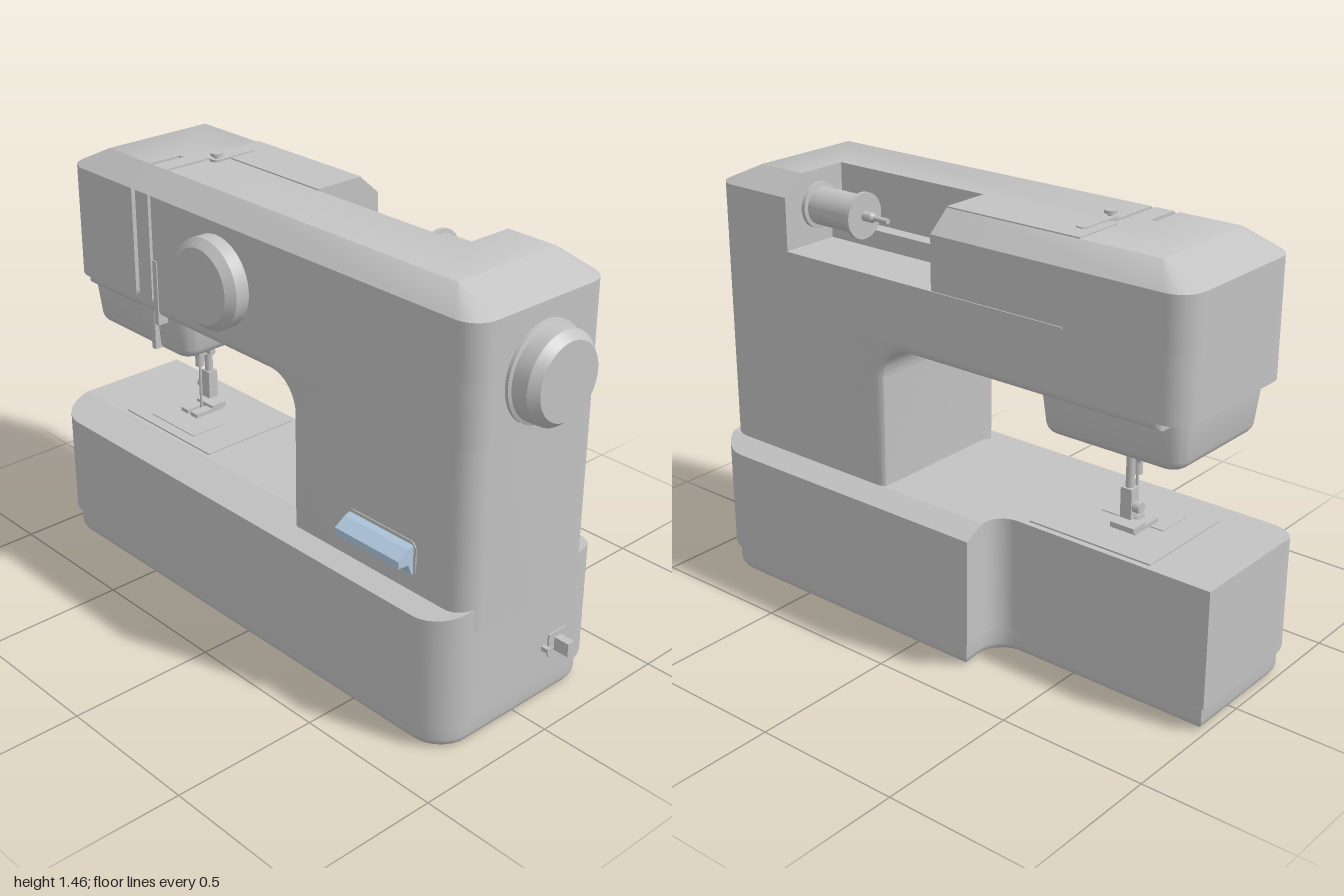
import * as THREE from 'three';
import { toCreasedNormals } from 'three/addons/utils/BufferGeometryUtils.js';

const grey = new THREE.MeshStandardMaterial({ color: 0xc2c2c2 });
grey.name = 'grey shell';
const blue = new THREE.MeshStandardMaterial({ color: 0xb0c8de });
blue.name = 'pale blue';

// Outline in plan from corners [x, z, radius]
function outline(corners) {
  const pts = [], n = corners.length;
  corners.forEach(([x, z, r = 0], i) => {
    const p = new THREE.Vector2(x, z);
    if (!r) return pts.push(p);
    const toward = (c, d) => new THREE.Vector2(c[0], c[1]).sub(p).normalize().multiplyScalar(d).add(p);
    const a = corners[(i + n - 1) % n], b = corners[(i + 1) % n];
    pts.push(...new THREE.CubicBezierCurve(toward(a, r), toward(a, r * 0.45), toward(b, r * 0.45), toward(b, r)).getPoints(8));
  });
  return pts;
}

// Keep the part of an outline where side * z <= side * limit
function clip(pts, side, limit) {
  const out = [], inside = (p) => side * p.y <= side * limit + 1e-6;
  pts.forEach((p, i) => {
    const q = pts[(i + 1) % pts.length];
    if (inside(p)) out.push(p);
    if (inside(p) !== inside(q)) out.push(p.clone().lerp(q, (limit - p.y) / (q.y - p.y)));
  });
  return out.filter((p, i) => p.distanceTo(out[(i + 1) % out.length]) > 1e-4);
}

// Move every vertex by a rule, then smooth the gentle edges
function reshape(geo, rule) {
  const pos = geo.attributes.position, v = new THREE.Vector3();
  for (let i = 0; rule && i < pos.count; i++) {
    rule(v.fromBufferAttribute(pos, i));
    pos.setXYZ(i, v.x, v.y, v.z);
  }
  return toCreasedNormals(geo, 0.55);
}

// Raise a plan outline from y0 to y1, with an optional rounded rim
function raise(pts, y0, y1, rule, bevel = 0, inset = 0) {
  const shape = new THREE.Shape(pts.map((p) => new THREE.Vector2(p.x, -p.y)));
  const geo = new THREE.ExtrudeGeometry(shape, {
    depth: y1 - y0 - 2 * bevel, bevelEnabled: bevel > 0, bevelSize: bevel,
    bevelThickness: bevel, bevelOffset: -bevel - inset, bevelSegments: 4,
  });
  geo.rotateX(-Math.PI / 2).translate(0, y0 + bevel, 0);
  return reshape(geo, rule);
}

export function createModel() {
  const model = new THREE.Group();
  const add = (name, geo, mat = grey) => {
    const mesh = new THREE.Mesh(geo, mat);
    mesh.name = name;
    model.add(mesh);
    return mesh;
  };
  // Box from its limits
  const box = (name, x0, x1, y0, y1, z0, z1, mat) =>
    add(name, new THREE.BoxGeometry(x1 - x0, y1 - y0, z1 - z0).translate((x0 + x1) / 2, (y0 + y1) / 2, (z0 + z1) / 2), mat);
  const post = (name, x, z, y0, y1, r) =>
    add(name, new THREE.CylinderGeometry(r, r, y1 - y0, 16).translate(x, (y0 + y1) / 2, z));
  const turned = (name, profile) =>
    add(name, toCreasedNormals(new THREE.LatheGeometry(profile.map(([r, y]) => new THREE.Vector2(r, y)), 48).toNonIndexed(), 0.3));

  // Base: inset plinth, then a bed that slopes down to the front and back
  const bed = outline([[-1, -0.19], [-1, 0.35, 0.13], [0.9, 0.35, 0.13], [0.9, -0.355, 0.13],
    [-0.235, -0.355], [-0.22, -0.19, 0.08]]);
  add('plinth', raise(bed, 0, 0.15, null, 0.03, 0.015));
  const zFront = 0.215, zBack = -0.273;
  const slope = (v) => {
    if (v.y < 0.4) return;
    if (v.z > zFront) v.y -= 0.03 * (v.z - zFront) / 0.135;
    if (v.z < zBack) v.y -= 0.03 * (zBack - v.z) / 0.082;
  };
  add('bedMiddle', raise(clip(clip(bed, 1, zFront), -1, zBack), 0.09, 0.48));
  add('bedFront', raise(clip(bed, -1, zFront), 0.09, 0.48, slope));
  add('bedBack', raise(clip(bed, 1, zBack), 0.09, 0.48, slope));

  // Column and the bevelled arch under the arm
  add('column', raise(outline([[0.3, -0.275], [0.3, 0.277], [0.905, 0.277, 0.08], [0.905, -0.275, 0.08]]), 0.4, 0.99));
  const arch = new THREE.Shape();
  arch.moveTo(-0.86, 0.96);
  arch.lineTo(0.07, 0.96);
  arch.absarc(0.07, 0.85, 0.11, Math.PI / 2, 0, true);
  [[0.18, 0.4], [0.5, 0.4], [0.5, 1.02], [-0.86, 1.02]].forEach(([x, y]) => arch.lineTo(x, y));
  add('archFrame', toCreasedNormals(new THREE.ExtrudeGeometry(arch, {
    depth: 0.512, bevelSize: 0.025, bevelThickness: 0.02, bevelOffset: -0.025, bevelSegments: 3, curveSegments: 14,
  }).translate(0, 0, -0.255), 0.55));

  // Arm: plan with two thread grooves at the front and a spool recess at the back
  const armPlan = (grooveEnds, recess) => {
    const slots = [[-0.585, -0.565], [-0.5, -0.485]].flatMap(([a, b], i) =>
      [[a, 0.277], [a, grooveEnds[i]], [b, grooveEnds[i]], [b, 0.277]]);
    const well = recess ? [[0.58, -0.275], [0.58, -0.02], [-0.03, -0.02], [-0.03, -0.275]] : [];
    return outline([[-0.935, -0.275, 0.08], [-0.935, 0.277, 0.08], ...slots,
      [0.905, 0.277, 0.08], [0.905, -0.275, 0.08], ...well]);
  };
  add('armLower', raise(armPlan([0.25, 0.25], false), 0.985, 1.19));
  add('armUpper', raise(armPlan([0.25, 0.25], true), 1.19, 1.365));
  add('armTop', raise(armPlan([0.08, 0], true), 1.365, 1.43, (v) => {
    if (v.y < 1.4) return;
    v.x = THREE.MathUtils.clamp(v.x, -0.8, 0.76);
    v.z = THREE.MathUtils.clamp(v.z, -0.2, 0.2);
  }));
  box('recessStep', -0.03, 0.58, 1.19, 1.25, -0.07, -0.02);
  box('lidPanel', -0.52, -0.03, 1.425, 1.434, -0.2, -0.02);
  box('lidSeam', -0.52, 0.58, 1.183, 1.19, -0.279, -0.27);

  // Needle housing under the head, tapering downward
  add('needleHousing', raise(outline([[-0.9, -0.22, 0.06], [-0.9, 0.25, 0.06], [-0.37, 0.25, 0.06], [-0.37, -0.22, 0.06]]),
    0.81, 1.04, (v) => {
      const k = 1 - 0.08 * THREE.MathUtils.clamp((0.985 - v.y) / 0.175, 0, 1);
      v.x = -0.635 + (v.x + 0.635) * k;
      v.z = 0.015 + (v.z - 0.015) * k;
    }, 0.03));
  box('threadGuide', -0.565, -0.5, 0.92, 1.0, 0.23, 0.272);
  box('threadGuideTip', -0.54, -0.52, 0.82, 0.93, 0.22, 0.256);
  box('takeUpSlot', -0.485, -0.465, 0.93, 1.15, 0.24, 0.281);

  // Front dial and hand wheel
  turned('frontDial', [[0.148, 0], [0.148, 0.05], [0.122, 0.075], [0, 0.075]])
    .rotateX(Math.PI / 2).position.set(-0.16, 1.178, 0.275);
  turned('handWheel', [[0.155, 0], [0.155, 0.012], [0.145, 0.016], [0.143, 0.068], [0.12, 0.096], [0, 0.096]])
    .rotateZ(-Math.PI / 2).position.set(0.904, 1.156, 0);

  // Reverse lever in a rounded frame
  const frame = new THREE.Shape(outline([[0.427, 0.518, 0.025], [0.713, 0.518, 0.025], [0.713, 0.635, 0.025], [0.427, 0.635, 0.025]]));
  add('leverFrame', new THREE.ExtrudeGeometry(frame, { depth: 0.008, bevelEnabled: false }).translate(0, 0, 0.272));
  const lever = new THREE.Shape([[0.27, 0.627], [0.3, 0.617], [0.34, 0.592], [0.34, 0.568], [0.3, 0.565], [0.285, 0.528], [0.27, 0.526]]
    .map(([z, y]) => new THREE.Vector2(-z, y)));
  add('reverseLever', new THREE.ExtrudeGeometry(lever, { depth: 0.266, bevelEnabled: false })
    .rotateY(Math.PI / 2).translate(0.437, 0, 0), blue);

  // Spool lying in the recess
  const spool = turned('spool', [[0, -0.03], [0.075, -0.03], [0.075, -0.016], [0.062, -0.014], [0.062, 0.16],
    [0.075, 0.162], [0.075, 0.176], [0.016, 0.176], [0.016, 0.21], [0.009, 0.22], [0.009, 0.275], [0, 0.275]]);
  spool.rotateZ(Math.PI / 2).position.set(0.545, 1.315, -0.135);

  // Bobbin winder on the top
  add('winderPlate', raise(outline([[-0.485, -0.13, 0.019], [-0.485, 0.045, 0.019], [-0.445, 0.045, 0.019], [-0.445, -0.13, 0.019]]), 1.425, 1.438));
  post('winderPin', -0.465, 0.022, 1.43, 1.447, 0.01);
  post('winderCap', -0.465, 0.022, 1.446, 1.456, 0.02);

  // Needle plate and bobbin cover
  box('needlePlate', -0.78, -0.33, 0.475, 0.485, -0.17, 0.2);
  box('bobbinCover', -0.69, -0.46, 0.48, 0.488, 0.03, 0.16);

  // Presser bar, foot, needle and clamps
  post('presserBar', -0.6, -0.025, 0.54, 0.83, 0.014);
  post('needleBar', -0.598, 0.015, 0.66, 0.83, 0.016);
  post('needle', -0.598, 0.015, 0.49, 0.68, 0.005);
  box('needleClamp', -0.62, -0.575, 0.705, 0.75, -0.005, 0.035);
  post('clampScrew', 0, 0, -0.025, 0.025, 0.012).rotateZ(Math.PI / 2).position.set(-0.55, 0.735, 0.015);
  box('footShank', -0.62, -0.58, 0.53, 0.63, -0.045, -0.008);
  post('shankScrew', 0, 0, -0.015, 0.015, 0.018).rotateZ(Math.PI / 2).position.set(-0.63, 0.57, -0.025);
  for (const x of [-0.642, -0.592]) box('footToe', x, x + 0.036, 0.488, 0.502, -0.05, 0.07);
  box('footBridge', -0.642, -0.556, 0.495, 0.512, -0.06, 0);
  box('barGuide', -0.63, -0.53, 0.79, 0.82, -0.05, 0.04);
  box('threaderArm', -0.735, -0.665, 0.768, 0.815, -0.02, 0.01);
  box('threaderTab', -0.77, -0.715, 0.752, 0.766, -0.02, 0.03);
  box('threaderLink', -0.67, -0.61, 0.775, 0.785, -0.01, 0.005);

  // Power switch on the side
  box('switchPanel', 0.89, 0.906, 0.16, 0.24, -0.185, -0.11);
  box('switchKnob', 0.9, 0.96, 0.176, 0.222, -0.163, -0.135);
  box('switchPin', 0.89, 0.925, 0.195, 0.21, -0.097, -0.082);
  return model;
}
